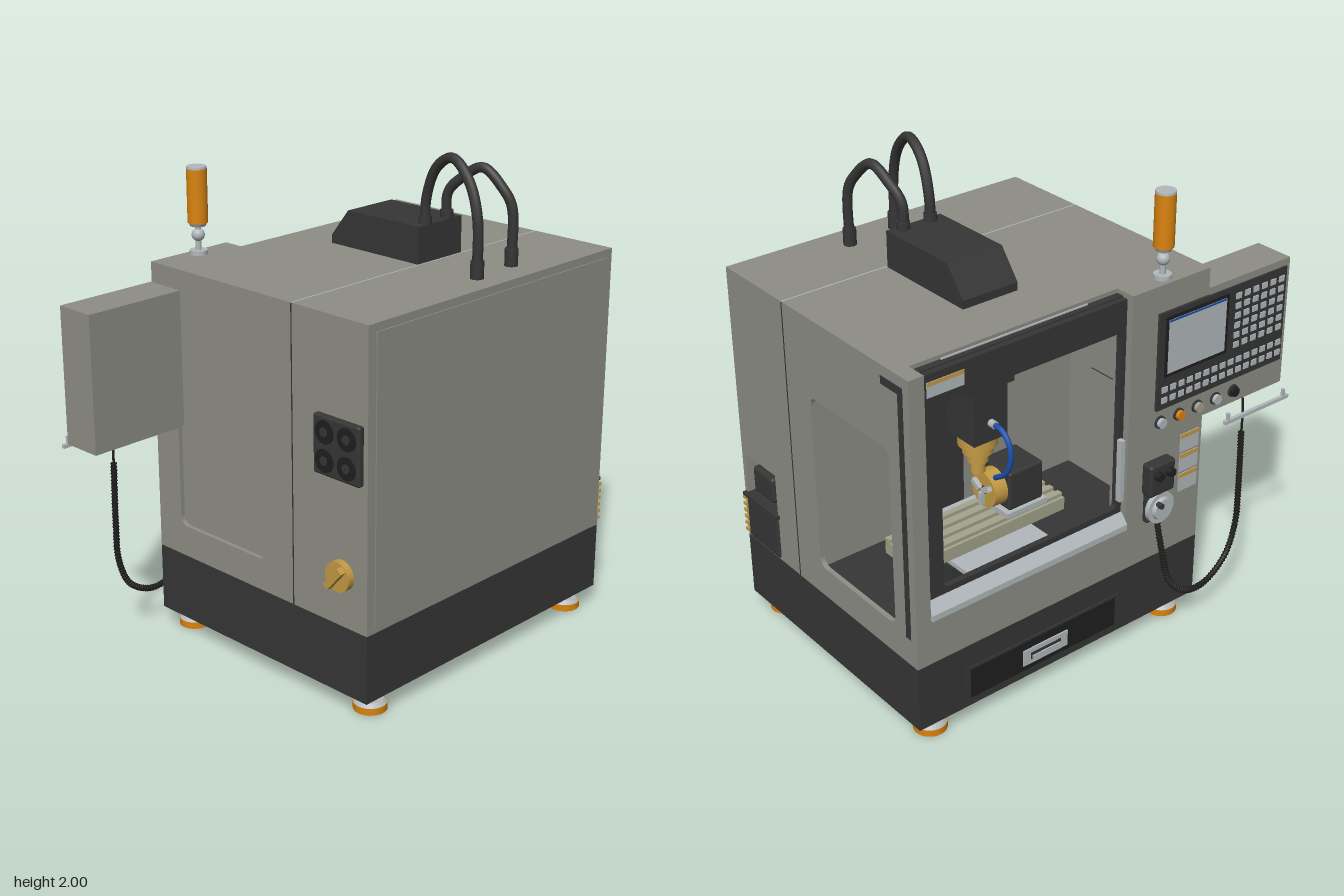
import * as THREE from 'three';
import { RoundedBoxGeometry } from 'three/addons/geometries/RoundedBoxGeometry.js';

const paint = (name, color, side = THREE.FrontSide) => {
  const m = new THREE.MeshStandardMaterial({ color, side });
  m.name = name;
  return m;
};

export function createModel() {
  const grey = paint('cabinet grey', 0x8e8e86);
  const dark = paint('charcoal', 0x363636);
  const black = paint('black rubber', 0x1f1f1f);
  const light = paint('light metal', 0xb2b8bc);
  const orange = paint('orange', 0xd98310);
  const gold = paint('brass', 0xc39a45);
  const beige = paint('table beige', 0xa3a38c);
  const blue = paint('coolant blue', 0x1d4fae);
  const model = new THREE.Group();
  model.name = 'machiningCentre';

  // helpers: place a geometry, box by extents, cylinder along an axis, tube through points
  const add = (name, geo, mat, x = 0, y = 0, z = 0) => {
    const m = new THREE.Mesh(geo, mat);
    m.name = name;
    m.position.set(x, y, z);
    model.add(m);
    return m;
  };
  const box = (name, mat, x0, x1, y0, y1, z0, z1, r = 0) => add(name,
    r ? new RoundedBoxGeometry(x1 - x0, y1 - y0, z1 - z0, 3, r) : new THREE.BoxGeometry(x1 - x0, y1 - y0, z1 - z0),
    mat, (x0 + x1) / 2, (y0 + y1) / 2, (z0 + z1) / 2);
  const cyl = (name, mat, rTop, rBottom, h, x, y, z, axis = 'y', sides = 32) => {
    const g = new THREE.CylinderGeometry(rTop, rBottom, h, sides);
    if (axis === 'x') g.rotateZ(-Math.PI / 2);
    if (axis === 'z') g.rotateX(-Math.PI / 2);
    return add(name, g, mat, x, y, z);
  };
  const tube = (name, mat, r, pts, n = 48) => add(name, new THREE.TubeGeometry(
    new THREE.CatmullRomCurve3(pts.map(p => new THREE.Vector3(...p))), n, r, 10), mat);
  const rect = (T, a0, a1, b0, b1, r = 0.0001) => {
    const s = new T();
    s.moveTo(a0 + r, b0);
    s.lineTo(a1 - r, b0); s.quadraticCurveTo(a1, b0, a1, b0 + r);
    s.lineTo(a1, b1 - r); s.quadraticCurveTo(a1, b1, a1 - r, b1);
    s.lineTo(a0 + r, b1); s.quadraticCurveTo(a0, b1, a0, b1 - r);
    s.lineTo(a0, b0 + r); s.quadraticCurveTo(a0, b0, a0 + r, b0);
    return s;
  };
  const extrude = (s, depth) => new THREE.ExtrudeGeometry(s, { depth, bevelEnabled: false, curveSegments: 6 });

  // base and levelling feet
  box('base', dark, -0.49, 0.905, 0.08, 0.36, -0.535, 0.615);
  for (const x of [-0.39, 0.8]) for (const z of [0.54, -0.455]) {
    cyl('footPad', orange, 0.066, 0.066, 0.028, x, 0.014, z);
    cyl('footPlate', light, 0.05, 0.064, 0.014, x, 0.035, z);
    cyl('footStem', light, 0.018, 0.024, 0.05, x, 0.062, z);
  }

  // cabinet walls
  const sideWall = (name, holes, x) => {
    const s = rect(THREE.Shape, -0.535, 0.615, 0.36, 1.55);
    s.holes.push(...holes);
    add(name, extrude(s, 0.02).rotateY(-Math.PI / 2), grey, x);
  };
  const windowHole = () => rect(THREE.Path, -0.405, 0.08, 0.49, 1.23, 0.04);
  sideWall('rightWall', [windowHole(), rect(THREE.Path, 0.375, 0.595, 0.362, 0.75)], 0.905);
  sideWall('leftWall', [windowHole()], -0.47);
  box('leftWindowPanel', grey, -0.472, -0.462, 0.45, 1.27, -0.45, 0.12);
  box('windowPanelSeam', dark, -0.462, -0.46, 0.878, 0.882, -0.4, 0.08);
  box('frontWall', grey, -0.47, 0.885, 0.36, 1.55, 0.595, 0.615);
  box('frontPanel', grey, -0.45, 0.87, 0.39, 1.52, 0.615, 0.62);
  box('partition', grey, -0.47, 0.885, 0.36, 1.53, 0.225, 0.24);
  const roof = new THREE.Shape([[-0.49, -0.535], [-0.1, -0.535], [-0.1, -0.45], [0.84, -0.45],
    [0.84, -0.535], [0.905, -0.535], [0.905, 0.615], [-0.49, 0.615]].map(p => new THREE.Vector2(...p)));
  add('roof', extrude(roof, 0.02).rotateX(Math.PI / 2), grey, 0, 1.552, 0);
  box('roofSeam', light, -0.49, 0.905, 1.552, 1.553, 0.232, 0.238);
  for (const x of [-0.491, 0.906]) box('sideSeam', dark, x - 0.001, x + 0.001, 0.36, 1.55, 0.233, 0.237);
  box('controlPillar', grey, -0.47, -0.1, 0.36, 1.535, -0.535, -0.515);
  box('pillarReturn', grey, -0.12, -0.1, 0.36, 1.535, -0.515, -0.44);
  box('doorPost', grey, 0.84, 0.886, 0.36, 1.535, -0.535, -0.45);
  box('apron', grey, -0.1, 0.84, 0.36, 0.55, -0.535, -0.515);

  // door with open window, sill and handle
  const door = rect(THREE.Shape, -0.1, 0.84, 0.6, 1.53);
  door.holes.push(rect(THREE.Path, -0.075, 0.755, 0.64, 1.4, 0.02));
  add('doorFrame', extrude(door, 0.025), dark, 0, 0, -0.505);
  box('doorHeader', dark, -0.1, 0.84, 1.42, 1.535, -0.48, -0.45);
  box('doorRail', light, 0.05, 0.71, 1.535, 1.54, -0.458, -0.452);
  const sill = new THREE.Shape([[-0.545, 0.55], [-0.5, 0.55], [-0.5, 0.615], [-0.512, 0.615], [-0.545, 0.575]]
    .map(p => new THREE.Vector2(...p)));
  add('doorSill', extrude(sill, 0.94).rotateY(-Math.PI / 2), light, 0.84);
  box('doorHandle', light, -0.09, -0.07, 0.68, 0.95, -0.53, -0.505);
  box('warningLabel', light, 0.65, 0.81, 1.44, 1.5, -0.507, -0.505);
  box('warningStripe', gold, 0.65, 0.81, 1.485, 1.5, -0.509, -0.507);

  // guide slots in the right wall
  box('slotTop', dark, 0.904, 0.907, 1.478, 1.51, -0.5, -0.375);
  box('slotSide', dark, 0.904, 0.907, 0.475, 1.5, -0.5, -0.472);

  // base drawer
  box('drawer', dark, -0.07, 0.69, 0.11, 0.26, -0.541, -0.535);
  box('drawerInset', black, -0.05, 0.67, 0.12, 0.25, -0.543, -0.541);
  box('drawerHandle', light, 0.2, 0.42, 0.145, 0.215, -0.549, -0.541);
  box('handleSlot', dark, 0.235, 0.385, 0.165, 0.195, -0.551, -0.549);
  box('handleGrip', light, 0.24, 0.38, 0.17, 0.182, -0.556, -0.549);

  // control cabinet and panel
  box('controlCabinet', grey, -0.925, -0.49, 0.92, 1.47, -0.54, -0.37);
  box('controlPanel', dark, -0.905, -0.23, 1.03, 1.44, -0.547, -0.535);
  box('screenBezel', black, -0.59, -0.26, 1.165, 1.42, -0.549, -0.547);
  box('screen', light, -0.575, -0.275, 1.18, 1.405, -0.551, -0.549);
  box('screenBar', blue, -0.575, -0.275, 1.397, 1.405, -0.553, -0.551);
  const key = new THREE.BoxGeometry(0.028, 0.024, 0.006);
  for (let r = 0; r < 6; r++) for (let c = 0; c < 6; c++)
    add('key', key, light, -0.64 - c * 0.047, 1.395 - r * 0.042, -0.549);
  for (let r = 0; r < 2; r++) for (let c = 0; c < 15; c++)
    add('softKey', key, light, -0.265 - c * 0.044, 1.115 - r * 0.045, -0.549);
  [light, orange, beige, light, black].forEach((m, i) => {
    const x = -0.255 - i * 0.098;
    cyl('buttonRing', dark, 0.026, 0.026, 0.008, x, 0.975, -0.543, 'z', 20);
    cyl('button', m, 0.02, 0.02, 0.02, x, 0.975, -0.552, 'z', 20);
  });
  for (let i = 0; i < 3; i++) {
    const y = 0.61 + i * 0.09;
    box('label', light, -0.475, -0.375, y, y + 0.08, -0.538, -0.535);
    box('labelStripe', gold, -0.475, -0.375, y + 0.062, y + 0.08, -0.54, -0.538);
  }
  // small shelf rail below the control cabinet
  box('shelfRail', light, -0.905, -0.55, 0.88, 0.895, -0.607, -0.592);
  for (const x of [-0.88, -0.57]) box('shelfPost', light, x - 0.006, x + 0.006, 0.89, 0.925, -0.605, -0.593);

  // hand pendant with dial and coiled cable
  box('pendantBody', dark, -0.305, -0.175, 0.68, 0.82, -0.59, -0.535, 0.012);
  box('pendantLower', dark, -0.295, -0.185, 0.55, 0.69, -0.565, -0.535, 0.01);
  for (const x of [-0.27, -0.21]) cyl('pendantKnob', black, 0.018, 0.02, 0.025, x, 0.775, -0.6, 'z', 16);
  cyl('pendantDial', light, 0.068, 0.068, 0.02, -0.24, 0.615, -0.575, 'z');
  cyl('dialHub', light, 0.045, 0.05, 0.02, -0.24, 0.615, -0.592, 'z');
  cyl('dialCrank', dark, 0.012, 0.012, 0.025, -0.215, 0.645, -0.605, 'z', 12);
  tube('cableLead', black, 0.005, [[-0.7, 0.93, -0.55], [-0.7, 0.85, -0.555], [-0.7, 0.76, -0.555]], 8);
  const cablePath = [[-0.7, 0.77, -0.555], [-0.7, 0.5, -0.56], [-0.69, 0.35, -0.565], [-0.63, 0.22, -0.575],
    [-0.5, 0.15, -0.59], [-0.38, 0.17, -0.6], [-0.28, 0.27, -0.605], [-0.24, 0.42, -0.6], [-0.24, 0.56, -0.56]];
  tube('pendantCable', black, 0.011, cablePath, 80);
  const path = new THREE.CatmullRomCurve3(cablePath.map(p => new THREE.Vector3(...p)));
  const ring = new THREE.TorusGeometry(0.01, 0.004, 5, 10);
  for (let i = 0; i <= 90; i++) {
    const m = add('cableRib', ring, black);
    m.position.copy(path.getPointAt(i / 90));
    m.lookAt(m.position.clone().add(path.getTangentAt(i / 90)));
  }

  // signal lamp
  cyl('lampBase', light, 0.035, 0.035, 0.02, -0.29, 1.56, -0.485);
  cyl('lampStem', light, 0.012, 0.012, 0.12, -0.29, 1.62, -0.485, 'y', 16);
  add('lampBall', new THREE.SphereGeometry(0.026, 20, 14), light, -0.29, 1.63, -0.485);
  cyl('lampCollar', light, 0.038, 0.03, 0.015, -0.29, 1.673, -0.485);
  cyl('lampLens', orange, 0.04, 0.04, 0.212, -0.29, 1.785, -0.485);
  cyl('lampCap', light, 0.039, 0.04, 0.01, -0.29, 1.895, -0.485);

  // roof hood and its two hoses
  const hood = new THREE.Shape([[-0.23, 1.55], [0.23, 1.55], [0.23, 1.7], [-0.14, 1.7], [-0.23, 1.585]]
    .map(p => new THREE.Vector2(...p)));
  add('hood', extrude(hood, 0.25).rotateY(-Math.PI / 2), dark, 0.44);
  for (const [x0, x1, top, z1] of [[0.255, 0.205, 1.978, 0.51], [0.38, 0.43, 1.915, 0.49]]) {
    const xm = (x0 + x1) / 2;
    tube('hose', dark, 0.02, [[x0, 1.68, 0.205], [x0, 1.8, 0.21], [(x0 + xm) / 2, top - 0.05, 0.27], [xm, top, 0.36],
      [(x1 + xm) / 2, top - 0.07, 0.45], [x1, 1.78, z1 - 0.005], [x1, 1.55, z1]]);
    cyl('hoseFitting', dark, 0.026, 0.026, 0.07, x1, 1.585, z1, 'y', 20);
    cyl('hoseFitting', dark, 0.026, 0.026, 0.04, x0, 1.71, 0.205, 'y', 20);
  }

  // milling column, head and spindle
  box('column', dark, 0.2, 0.43, 0.4, 1.5, 0.1, 0.225);
  box('headArm', dark, 0.2, 0.43, 1.18, 1.5, -0.225, 0.1);
  box('spindleHead', dark, 0.235, 0.395, 0.96, 1.2, -0.225, -0.06);
  [[0.078, 0.96, 0.918], [0.06, 0.918, 0.88], [0.042, 0.88, 0.84], [0.022, 0.84, 0.82], [0.029, 0.835, 0.79]]
    .forEach(([r, a, b]) => cyl('spindleNose', gold, r, r, a - b, 0.315, (a + b) / 2, -0.142));
  cyl('hoseNipple', light, 0.016, 0.016, 0.03, 0.315, 1.04, -0.237, 'z', 12);
  tube('coolantHose', blue, 0.011, [[0.315, 1.04, -0.25], [0.315, 1.035, -0.29], [0.315, 1.0, -0.33],
    [0.315, 0.94, -0.343], [0.315, 0.86, -0.315], [0.315, 0.81, -0.25]]);

  // bed, table and rotary chuck
  box('floor', dark, -0.45, 0.87, 0.36, 0.366, -0.5, 0.22);
  box('bed', dark, 0.1, 0.53, 0.366, 0.49, -0.25, 0.1);
  box('saddle', light, 0.12, 0.52, 0.49, 0.51, -0.34, 0.08);
  box('table', beige, -0.05, 0.68, 0.51, 0.565, -0.23, -0.03);
  for (const z of [-0.2, -0.147, -0.094, -0.04]) box('tableRail', beige, -0.05, 0.68, 0.565, 0.58, z - 0.017, z + 0.01);
  box('rotaryBase', light, 0.04, 0.24, 0.58, 0.602, -0.23, -0.03);
  box('rotaryBody', dark, 0.05, 0.22, 0.6, 0.77, -0.217, -0.045, 0.012);
  cyl('chuck', gold, 0.075, 0.078, 0.06, 0.25, 0.685, -0.131, 'x');
  for (let i = 0; i < 3; i++) {
    const jaw = add('chuckJaw', new THREE.BoxGeometry(0.02, 0.05, 0.02).translate(0, 0.033, 0), light, 0.29, 0.685, -0.131);
    jaw.rotation.x = Math.PI + i * Math.PI * 2 / 3;
  }
  cyl('chuckBore', dark, 0.018, 0.018, 0.004, 0.282, 0.685, -0.131, 'x', 20);

  // lubrication pump in its pocket
  box('pocketBack', grey, 0.67, 0.68, 0.36, 0.76, 0.365, 0.605);
  box('pocketTop', grey, 0.67, 0.886, 0.75, 0.76, 0.365, 0.605);
  box('pocketSide', grey, 0.67, 0.886, 0.36, 0.76, 0.365, 0.375);
  box('pumpTank', dark, 0.7, 0.915, 0.362, 0.56, 0.368, 0.6, 0.02);
  box('pumpLid', dark, 0.7, 0.921, 0.556, 0.57, 0.362, 0.61);
  box('pumpMotor', dark, 0.72, 0.88, 0.57, 0.685, 0.445, 0.59, 0.015);
  cyl('pumpFiller', dark, 0.02, 0.02, 0.05, 0.85, 0.592, 0.4, 'y', 16);
  for (let i = 0; i < 6; i++) box('pumpMark', gold, 0.903, 0.917, 0.385 + i * 0.03, 0.398 + i * 0.03, 0.6, 0.618);

  // left side fan box and main switch
  box('fanBox', dark, -0.52, -0.49, 0.95, 1.18, 0.37, 0.6, 0.01);
  for (const y of [1.01, 1.12]) for (const z of [0.43, 0.54]) {
    cyl('fanGrille', black, 0.045, 0.045, 0.006, -0.521, y, z, 'x', 24);
    cyl('fanHub', dark, 0.018, 0.018, 0.006, -0.524, y, z, 'x', 16);
  }
  cyl('switchPlate', gold, 0.06, 0.06, 0.03, -0.504, 0.57, 0.49, 'x', 24);
  const grip = add('switchGrip', new THREE.BoxGeometry(0.03, 0.11, 0.028), gold, -0.53, 0.57, 0.49);
  grip.rotation.x = 0.7;

  return model;
}
